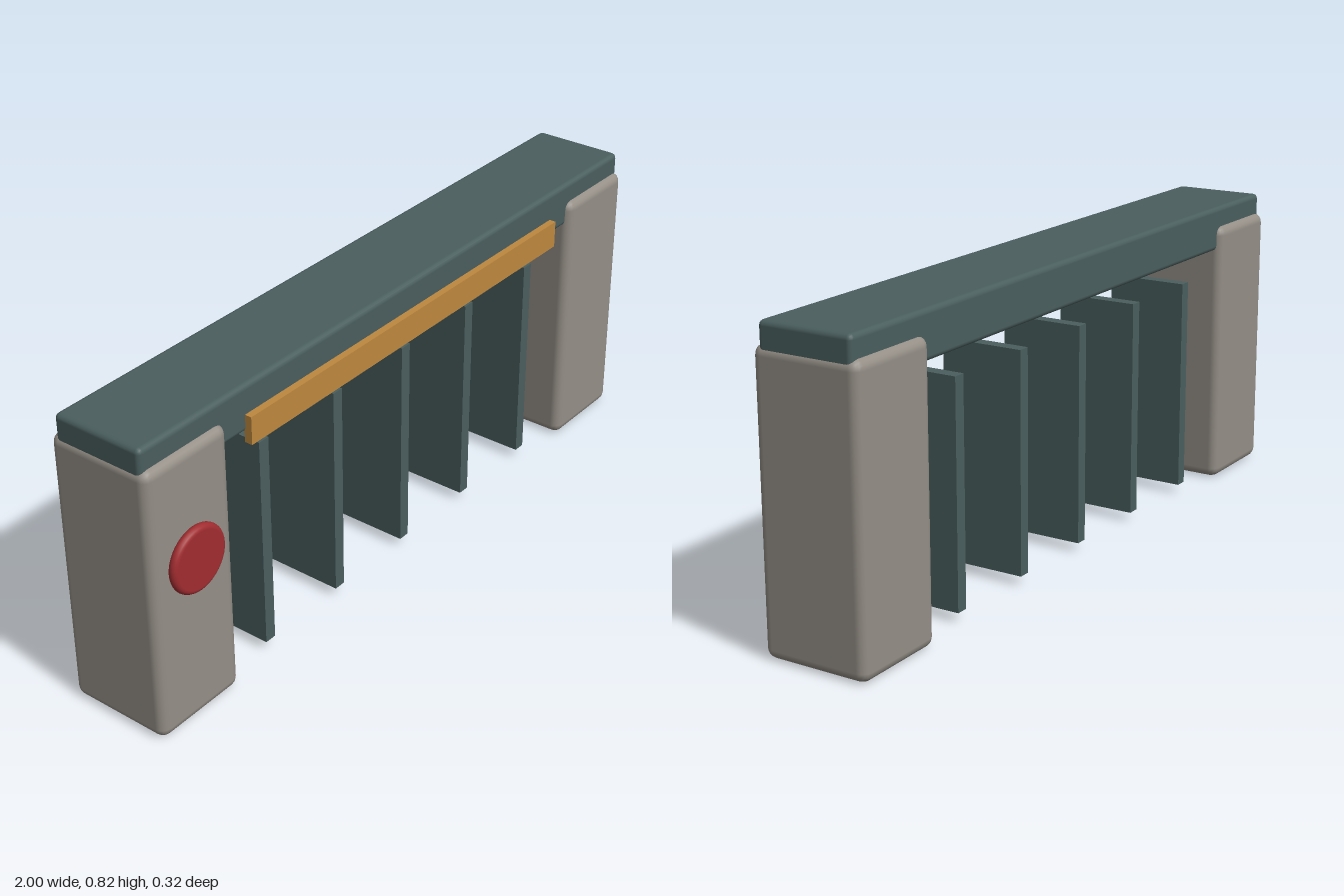
import * as THREE from 'three';
import { RoundedBoxGeometry } from 'three/addons/geometries/RoundedBoxGeometry.js';

function material(name, color) {
  const m = new THREE.MeshStandardMaterial({ color });
  m.name = name;
  return m;
}

export function createModel() {
  const group = new THREE.Group();
  group.name = 'slattedGateway';

  const stone = material('warm grey stone', 0x948e86);
  const slate = material('dark slate green', 0x4a5e5e);
  const brass = material('brass', 0xbd883f);
  const red = material('deep red', 0xa02c30);

  function add(name, geometry, mat, x, y, z) {
    const mesh = new THREE.Mesh(geometry, mat);
    mesh.name = name;
    mesh.position.set(x, y, z);
    group.add(mesh);
    return mesh;
  }

  // Two stone end pillars with softened edges
  for (const side of [-1, 1]) {
    add(side < 0 ? 'rightPillar' : 'leftPillar',
      new RoundedBoxGeometry(0.277, 0.762, 0.298, 2, 0.027), stone,
      side * 0.8595, 0.381, -0.011);
  }

  // Beam across the top
  add('topBeam', new RoundedBoxGeometry(1.986, 0.126, 0.262, 2, 0.014), slate, 0, 0.755, -0.011);

  // Thin trim strip on the front of the beam
  add('trimStrip', new THREE.BoxGeometry(1.288, 0.076, 0.022), brass, 0, 0.702, 0.128);

  // Five upright slats between the pillars
  for (let i = -2; i <= 2; i++) {
    add('slat' + (i + 3), new THREE.BoxGeometry(0.034, 0.6, 0.232), slate, i * 0.2825, 0.325, -0.011);
  }

  // Round button with a rolled rim on the right pillar
  const edge = 0.013, radius = 0.09;
  const profile = [new THREE.Vector2(0, -edge)];
  for (let i = 0; i <= 8; i++) {
    const a = -Math.PI / 2 + (i / 8) * Math.PI;
    profile.push(new THREE.Vector2(radius - edge + Math.cos(a) * edge, Math.sin(a) * edge));
  }
  profile.push(new THREE.Vector2(0, edge));
  const button = add('roundButton', new THREE.LatheGeometry(profile, 40), red, -0.86, 0.469, 0.149);
  button.rotation.x = Math.PI / 2;

  return group;
}
